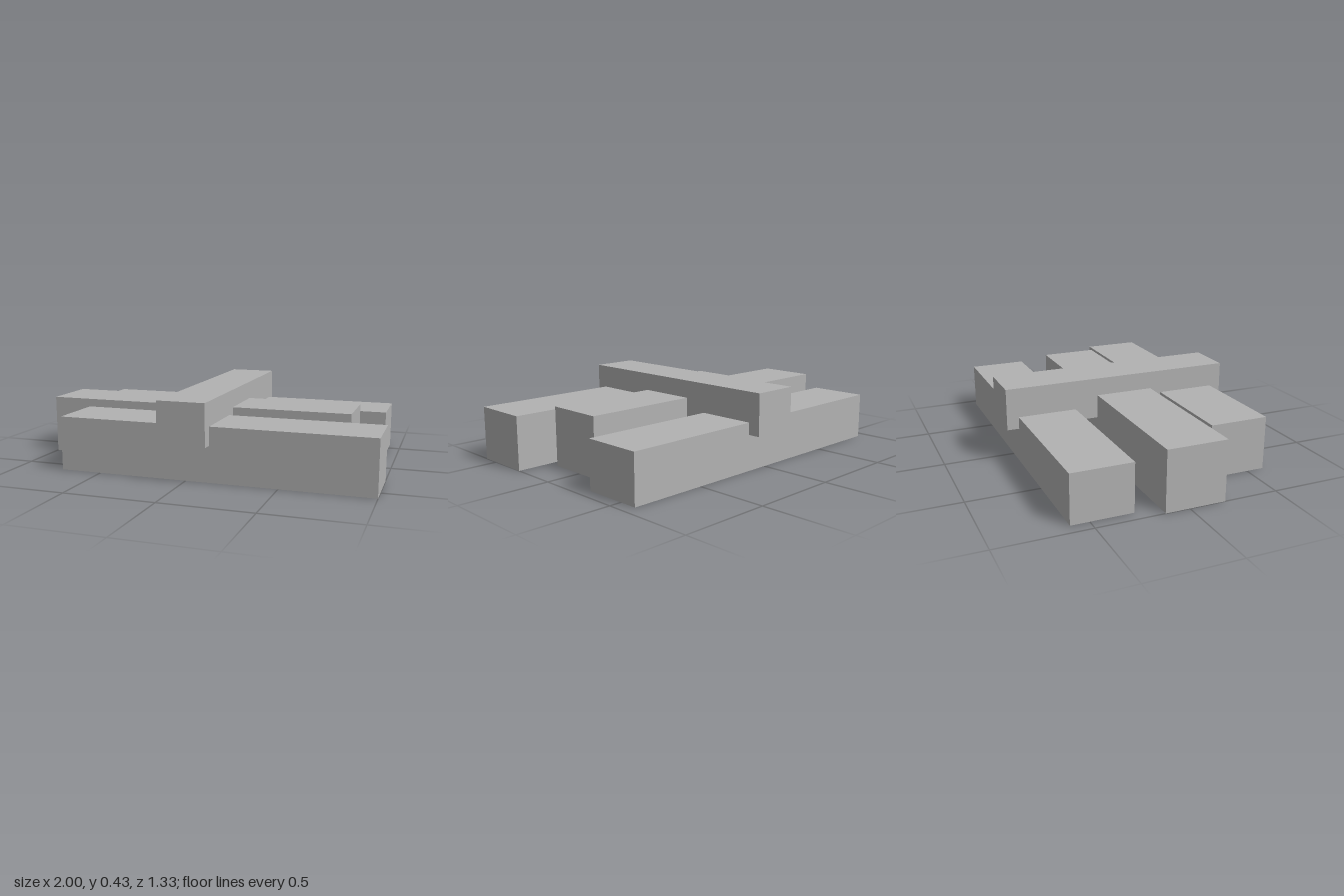
import * as THREE from 'three';

export function createModel() {
  const model = new THREE.Group();
  model.name = 'stackedBeams';

  const grey = new THREE.MeshStandardMaterial({ color: 0xb2b2b2 });
  grey.name = 'plain grey';

  // Box given by its extents along each axis
  function beam(name, [x0, x1], [y0, y1], [z0, z1]) {
    const mesh = new THREE.Mesh(new THREE.BoxGeometry(x1 - x0, y1 - y0, z1 - z0), grey);
    mesh.position.set((x0 + x1) / 2, (y0 + y1) / 2, (z0 + z1) / 2);
    mesh.name = name;
    model.add(mesh);
  }

  // Three parallel beams on the ground, of differing length and height
  beam('frontBeam', [-0.733, 1], [0, 0.3], [0.267, 0.6]);
  beam('middleBeam', [-1, 0.8], [0, 0.333], [-0.133, 0.2]);
  beam('backBeam', [-0.933, 0.933], [0, 0.267], [-0.6, -0.267]);

  // Cross beam let into the tops of the three
  beam('crossBeam', [-0.133, 0.133], [0.2, 0.433], [-0.667, 0.667]);

  return model;
}
